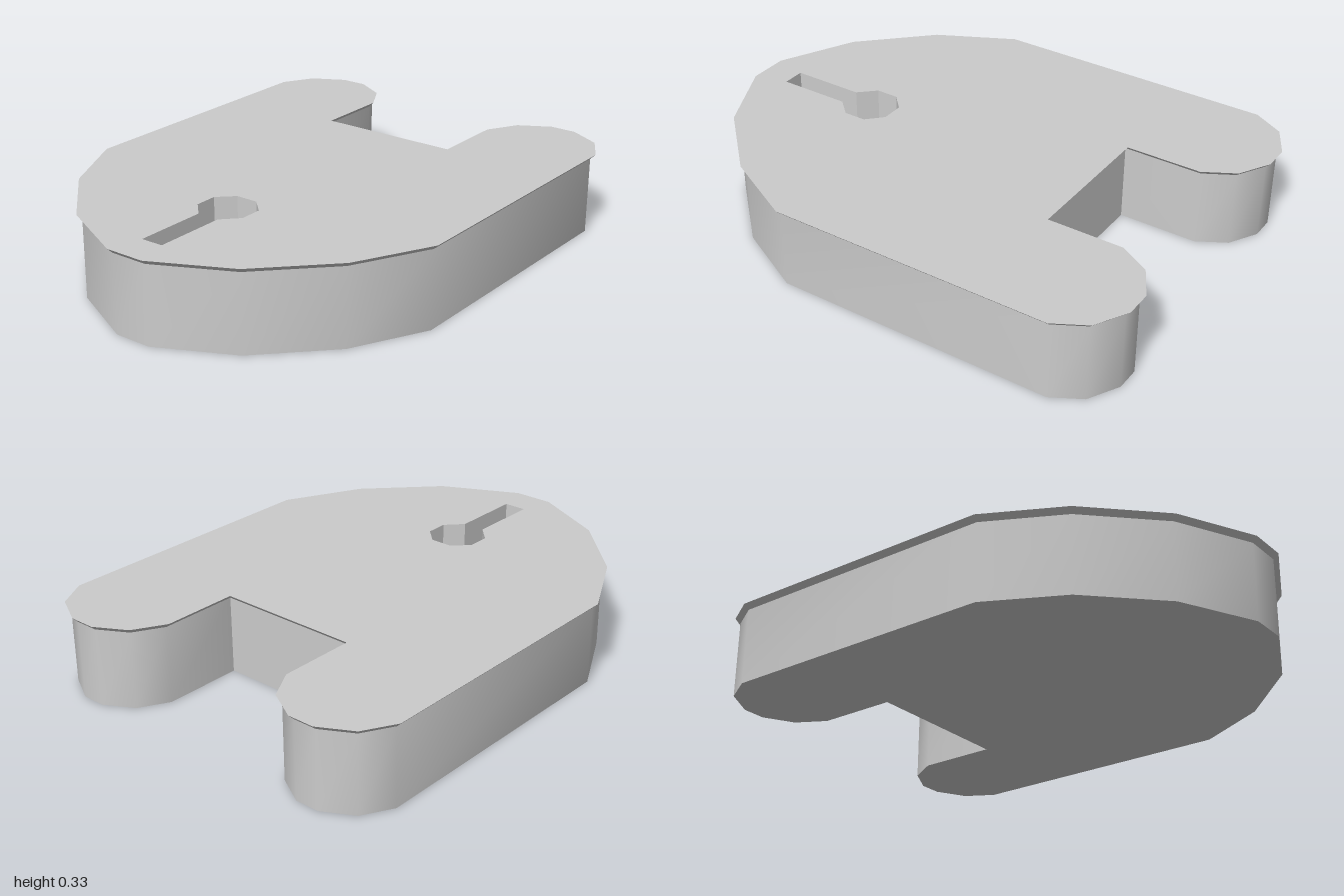
import * as THREE from 'three';
import { toCreasedNormals } from 'three/addons/utils/BufferGeometryUtils.js';

const HEIGHT = 0.33, BEVEL = 0.02, POCKET_FLOOR = 0.12;

// Mirror a half profile of [x, z] points across x = 0 into a closed loop
const mirrored = (half) => [...half, ...half.map(([x, z]) => [-x, z]).reverse()];

// Move every edge of a loop inward by d, with mitred corners
function inset(loop, d) {
  const n = loop.length;
  const normal = (a, b) => {
    const dx = b[0] - a[0], dz = b[1] - a[1], l = Math.hypot(dx, dz);
    return [dz / l, -dx / l];
  };
  return loop.map((p, i) => {
    const a = normal(loop[(i + n - 1) % n], p), b = normal(p, loop[(i + 1) % n]);
    const k = d / (1 + a[0] * b[0] + a[1] * b[1]);
    return [p[0] + (a[0] + b[0]) * k, p[1] + (a[1] + b[1]) * k];
  });
}

// Wall between a lower and an upper loop with matching points
function wall(lower, y0, upper, y1) {
  const pos = [];
  lower.forEach((p, i) => {
    const j = (i + 1) % lower.length;
    const a = [p[0], y0, p[1]], b = [lower[j][0], y0, lower[j][1]];
    const c = [upper[j][0], y1, upper[j][1]], d = [upper[i][0], y1, upper[i][1]];
    pos.push(...a, ...b, ...c, ...a, ...c, ...d);
  });
  const g = new THREE.BufferGeometry();
  g.setAttribute('position', new THREE.Float32BufferAttribute(pos, 3));
  return toCreasedNormals(g, 0.7);
}

// Flat face facing up (side = 1) or down (side = -1)
function cap(loop, y, side = 1, hole) {
  const vectors = (l) => l.map(([x, z]) => new THREE.Vector2(x, -z * side));
  const shape = new THREE.Shape(vectors(loop));
  if (hole) shape.holes.push(new THREE.Path(vectors(hole)));
  return new THREE.ShapeGeometry(shape).rotateX(-side * Math.PI / 2).translate(0, y, 0);
}

export function createModel() {
  const model = new THREE.Group();
  model.name = 'padlockPlate';
  const material = new THREE.MeshStandardMaterial({ color: 0xcccccc });
  const add = (name, geometry, parent) => {
    const mesh = new THREE.Mesh(geometry, material);
    mesh.name = name;
    parent.add(mesh);
  };

  // Rounded front, straight flanks and two round-ended prongs at the back
  const outline = mirrored([
    [0.075, 1], [0.37, 0.855], [0.62, 0.6], [0.77, 0.305], [0.77, -0.82],
    [0.705, -0.935], [0.585, -1], [0.49, -1], [0.375, -0.935], [0.31, -0.82], [0.31, -0.5],
  ]);
  const topOutline = inset(outline, -BEVEL);

  // Octagonal keyhole with a slot toward the front
  const keyhole = mirrored([
    [0.045, 0.885], [0.045, 0.595], [0.107, 0.53], [0.107, 0.44], [0.045, 0.38],
  ]);

  const body = new THREE.Group();
  body.name = 'body';
  add('bodySide', wall(outline, 0, outline, HEIGHT - BEVEL), body);
  add('topBevel', wall(outline, HEIGHT - BEVEL, topOutline, HEIGHT), body);
  add('topFace', cap(topOutline, HEIGHT, 1, keyhole), body);
  add('bottomFace', cap(outline, 0, -1), body);

  // Blind pocket, its walls facing inward
  const pocket = new THREE.Group();
  pocket.name = 'keyhole';
  const inner = [...keyhole].reverse();
  add('keyholeWall', wall(inner, POCKET_FLOOR, inner, HEIGHT), pocket);
  add('keyholeFloor', cap(keyhole, POCKET_FLOOR), pocket);

  model.add(body, pocket);
  return model;
}
